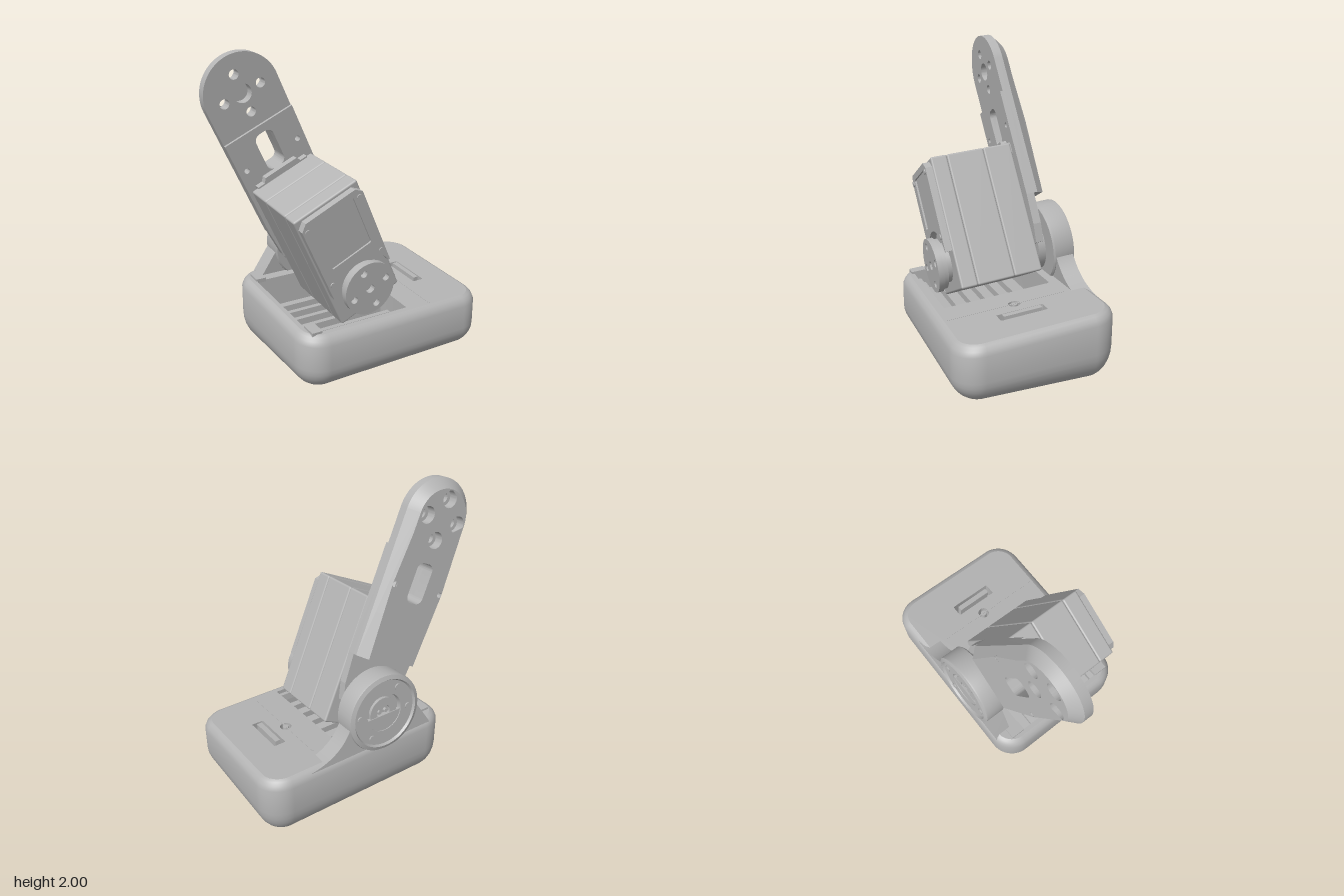
import * as THREE from 'three';
import { toCreasedNormals } from 'three/addons/utils/BufferGeometryUtils.js';
import { RoundedBoxGeometry } from 'three/addons/geometries/RoundedBoxGeometry.js';

const TILT = 0.1, LEAN = 0.457, ARM = 1.24;
const grey = new THREE.MeshStandardMaterial({ color: 0xb4b4b4 });
grey.name = 'plain grey';

function add(parent, name, geo, x = 0, y = 0, z = 0) {
  const m = new THREE.Mesh(geo, grey);
  m.name = name;
  m.position.set(x, y, z);
  parent.add(m);
  return m;
}
const box = (w, h, d) => new THREE.BoxGeometry(w, h, d);
// Cylinder lying along z
const disc = (r, d) => new THREE.CylinderGeometry(r, r, d, 48).rotateX(Math.PI / 2);
const circle = (x, y, r) => new THREE.Path().absarc(x, y, r, 0, Math.PI * 2, true);
const poly = pts => new THREE.Shape(pts.map(p => new THREE.Vector2(...p)));

// Plate in xy spanning z0 to z1
function plate(shape, holes, z0, z1) {
  shape.holes.push(...holes);
  const g = new THREE.ExtrudeGeometry(shape, { depth: z1 - z0, bevelEnabled: false, curveSegments: 24 });
  return g.translate(0, 0, z0);
}
const smooth = g => toCreasedNormals(g, 0.6);

// Rounded rectangle
function roundRect(x0, x1, y0, y1, r, S = THREE.Shape) {
  const s = new S(), q = Math.PI / 2;
  s.absarc(x1 - r, y0 + r, r, -q, 0);
  s.absarc(x1 - r, y1 - r, r, 0, q);
  s.absarc(x0 + r, y1 - r, r, q, 2 * q);
  s.absarc(x0 + r, y0 + r, r, 2 * q, 3 * q);
  s.closePath();
  return s;
}
const four = (cx, cy, R, r) => [0, 1, 2, 3].map(i =>
  circle(cx + R * Math.cos(i * Math.PI / 2), cy + R * Math.sin(i * Math.PI / 2), r));

// Slope the top of the base down towards the front
function slope(g) {
  const p = g.attributes.position;
  for (let i = 0; i < p.count; i++) {
    const y = p.getY(i);
    p.setY(i, y - 0.09 * p.getZ(i) * Math.min(1, y / 0.3));
  }
  g.computeVertexNormals();
  return g;
}
const plan = d => roundRect(-0.54 + d, 0.83 - d, -0.515 + d, 0.515 - d, Math.max(0.17 - d, 0.04));

// Bowl from stacked [height, inset] outlines, closed at the bottom
function bowl(levels) {
  const pos = [], idx = [];
  let n = 0;
  for (const [y, d] of levels) {
    const pts = plan(d).getPoints(10);
    pts.pop();
    n = pts.length;
    for (const p of pts) pos.push(p.x, y, p.y);
  }
  for (let k = 0; k < levels.length - 1; k++) for (let i = 0; i < n; i++) {
    const j = (i + 1) % n, a = k * n + i, b = k * n + j;
    idx.push(a, a + n, b, b, a + n, b + n);
  }
  const c = pos.length / 3;
  pos.push(0.145, levels[0][0], 0);
  for (let i = 0; i < n; i++) idx.push(c, i, (i + 1) % n);
  const g = new THREE.BufferGeometry();
  g.setAttribute('position', new THREE.Float32BufferAttribute(pos, 3));
  g.setIndex(idx);
  return g;
}

function makeBase() {
  const base = new THREE.Group();
  base.name = 'base';
  // Rounded hull with a softened top edge
  const levels = [];
  for (let i = 0; i <= 8; i++) {
    const a = i / 8 * Math.PI / 2;
    levels.push([0.19 * (1 - Math.cos(a)), 0.18 * (1 - Math.sin(a))]);
  }
  levels.push([0.365, 0], [0.395, 0.012], [0.415, 0.03], [0.425, 0.05]);
  add(base, 'hull', smooth(slope(bowl(levels))));

  // Top plate with the motor bay and a slot cut through
  const top = plate(plan(0.05), [
    roundRect(-0.46, 0.24, -0.31, 0.43, 0.015, THREE.Path),
    roundRect(0.5, 0.58, -0.14, 0.165, 0.008, THREE.Path),
    circle(0.41, 0.01, 0.038)], 0, 0.2);
  add(base, 'topPlate', smooth(slope(top.rotateX(Math.PI / 2).translate(0, 0.425, 0))));
  add(base, 'bayFloor', box(1.2, 0.04, 0.86), 0.14, 0.22, 0);
  for (let i = 0; i < 6; i++) add(base, 'bayRib', box(0.7, 0.05, 0.035), -0.11, 0.26, -0.2 + i * 0.11);
  const deck = new THREE.Group();
  deck.name = 'deckDetails';
  deck.position.y = 0.425;
  deck.rotation.x = 0.09;
  base.add(deck);
  add(deck, 'slotInsert', box(0.035, 0.16, 0.25), 0.54, -0.07, 0.012);
  add(deck, 'deckScrew', new THREE.CylinderGeometry(0.02, 0.024, 0.16, 24), 0.41, -0.08, 0.01);
  add(deck, 'deckStep', box(0.22, 0.008, 0.78), 0.41, -0.002, 0.06).scale.x = 0.04;
  add(deck, 'frontLedge', box(0.62, 0.05, 0.03), -0.04, -0.05, 0.415);
  for (const z of [-0.36, 0.4]) add(deck, 'leftStep', box(0.07, 0.03, 0.1), -0.43, 0, z);
  return base;
}

// Fixed rear bearing housing with its flared support
function makeHousing() {
  const g = new THREE.Group();
  g.name = 'rearHousing';
  const prof = [[0.235, -0.5], [0.262, -0.49], [0.265, -0.48], [0.265, -0.355], [0.255, -0.345], [0, -0.345]];
  const inner = [[0, -0.45], [0.05, -0.45], [0.05, -0.475], [0.1, -0.475], [0.1, -0.455], [0.125, -0.455],
    [0.13, -0.485], [0.225, -0.485], [0.235, -0.5]];
  const lathe = new THREE.LatheGeometry([...inner, ...prof.slice(1)].map(p => new THREE.Vector2(...p)), 64);
  add(g, 'bearingRing', smooth(lathe.toNonIndexed().rotateX(Math.PI / 2)));
  for (const a of [0.1, 2.2, Math.PI + 0.1, 5.3])
    add(g, 'housingScrew', disc(0.022, 0.012), 0.185 * Math.cos(a), 0.185 * Math.sin(a), -0.487);
  for (const x of [-0.025, 0.025]) add(g, 'hubPin', disc(0.013, 0.03), x, 0, -0.455);
  const s = new THREE.Shape();
  s.moveTo(-0.39, -0.26);
  s.lineTo(-0.36, -0.2);
  s.lineTo(-0.25, -0.02);
  s.lineTo(0.255, -0.02);
  s.quadraticCurveTo(0.34, -0.19, 0.55, -0.215);
  s.lineTo(0.55, -0.26);
  add(g, 'flaredSupport', smooth(plate(s, [], -0.48, -0.36)));
  return g;
}

// Motor body, front cover and horns
function makeMotor() {
  const g = new THREE.Group();
  g.name = 'motor';
  for (const [a, b] of [[-0.24, -0.05], [-0.05, 0.2], [0.2, 0.31]])
    add(g, 'bodySection', new RoundedBoxGeometry(0.464, 0.86, b - a, 3, 0.012), 0, 0.23, (a + b) / 2);
  // Cover, cut around the horn and sunk in the middle
  const cover = new THREE.Shape();
  cover.moveTo(0.222, 0.05);
  cover.lineTo(0.222, 0.6);
  cover.lineTo(0.18, 0.64);
  cover.lineTo(-0.18, 0.64);
  cover.lineTo(-0.222, 0.6);
  cover.lineTo(-0.222, 0.05);
  cover.absarc(0, 0, 0.215, Math.PI - 0.235, 0.235, true);
  const panel = roundRect(-0.15, 0.15, 0.25, 0.6, 0.01, THREE.Path);
  add(g, 'frontCover', smooth(plate(cover, [panel], 0.3, 0.355)));
  add(g, 'coverPanel', box(0.31, 0.36, 0.03), 0, 0.425, 0.328);
  for (const x of [-0.19, 0.19]) for (const y of [0.15, 0.58])
    add(g, 'coverScrew', disc(0.018, 0.02), x, y, 0.352);
  // Front horn
  const flange = new THREE.Shape().absarc(0, 0, 0.178, 0, Math.PI * 2);
  add(g, 'frontHorn', smooth(plate(flange, [circle(0, 0, 0.03), ...four(0, 0, 0.125, 0.024)], 0.375, 0.415)));
  add(g, 'hornBacking', disc(0.165, 0.03), 0, 0, 0.362);
  add(g, 'hornNeck', disc(0.13, 0.06), 0, 0, 0.33);
  // Rear horn
  add(g, 'rearHorn', disc(0.18, 0.05), 0, 0, -0.3);
  add(g, 'rearNeck', disc(0.12, 0.14), 0, 0, -0.29);
  return g;
}

// Long link plate with a rounded, drilled end
function makeArm() {
  const g = new THREE.Group();
  g.name = 'arm';
  const outline = v0 => {
    const s = new THREE.Shape();
    s.moveTo(-0.25, v0);
    s.lineTo(0.25, v0);
    s.absarc(0, ARM, 0.25, 0, Math.PI);
    return s;
  };
  const slot = () => roundRect(-0.065, 0.065, 0.7, 0.96, 0.045, THREE.Path);
  const side = r => [-0.195, 0.195].map(x => circle(x, 0.79, r));
  add(g, 'armFront', smooth(plate(outline(0.3),
    [slot(), circle(0, ARM, 0.06), ...four(0, ARM, 0.13, 0.031), ...side(0.018)], -0.335, -0.275)));
  // Rear layer: outer edge chamfered on the back face
  const back = plate(outline(0.3), [slot(), ...four(0, ARM, 0.13, 0.054), ...side(0.018)], -0.395, -0.335);
  const p = back.attributes.position;
  for (let i = 0; i < p.count; i++) {
    const x = p.getX(i), y = p.getY(i), up = Math.max(0, y - ARM), r = Math.hypot(x, up);
    if (r > 0.24 && p.getZ(i) < -0.36) {
      const k = (r - 0.06) / r;
      p.setX(i, x * k);
      p.setY(i, y - up * (1 - k));
    }
  }
  back.computeVertexNormals();
  add(g, 'armBack', smooth(back));
  // Thicker lower front, running down behind the motor
  const lower = poly([[-0.2, -0.02], [0.2, -0.02], [0.235, 0.1], [0.25, 0.3], [0.25, 1.01], [-0.25, 1.01], [-0.25, 0.3], [-0.235, 0.1]]);
  add(g, 'armLower', plate(lower, [slot(), ...side(0.018)], -0.31, -0.257));
  const lip = poly([[-0.19, 0.6], [0.19, 0.6], [0.19, 0.67], [0.14, 0.67], [0.12, 0.7], [-0.12, 0.7], [-0.14, 0.67], [-0.19, 0.67]]);
  add(g, 'mountLip', plate(lip, [], -0.27, -0.215));
  return g;
}

export function createModel() {
  const model = new THREE.Group();
  model.name = 'jointedArm';
  model.add(makeBase());
  // Joint axis, tilted back with the base top
  const joint = new THREE.Group();
  joint.name = 'joint';
  joint.position.set(-0.03, 0.615, 0);
  joint.rotation.x = TILT;
  model.add(joint);
  joint.add(makeHousing());
  const link = new THREE.Group();
  link.name = 'swingingLink';
  link.rotation.z = LEAN;
  link.add(makeMotor(), makeArm());
  joint.add(link);
  return model;
}
